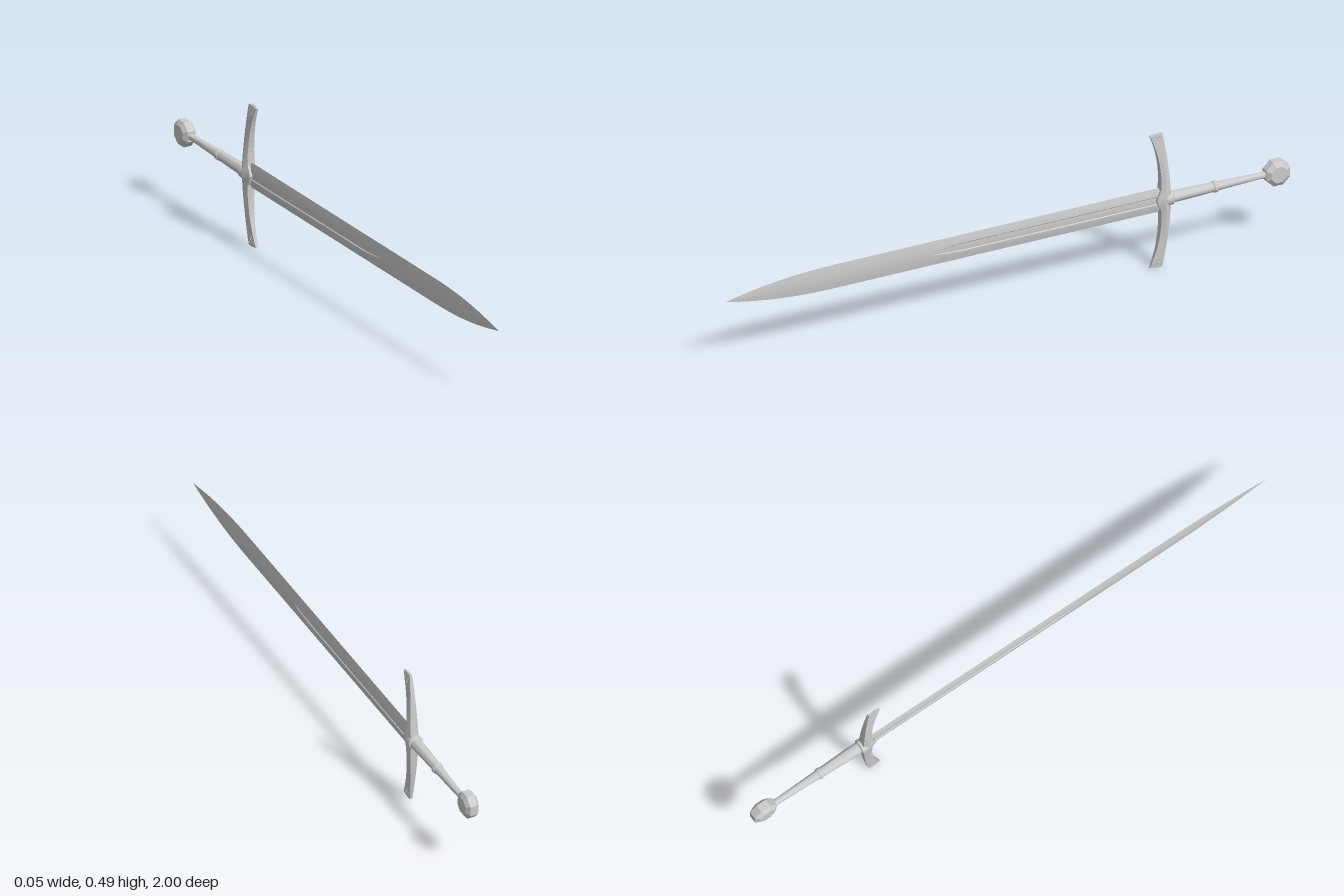
import * as THREE from 'three';
import { toCreasedNormals } from 'three/addons/utils/BufferGeometryUtils.js';

const MID = 0.245; // height of the sword's axis

// Skins a list of rings, each counter-clockwise about the direction of travel
function loft(rings, crease) {
  const n = rings[0].length, index = [];
  rings.forEach((ring, i) => {
    if (i === rings.length - 1) return;
    for (let j = 0; j < n; j++) {
      const a = i * n + j, b = i * n + (j + 1) % n;
      index.push(a, b, b + n, a, b + n, a + n);
    }
  });
  const last = (rings.length - 1) * n;
  for (let j = 1; j < n - 1; j++) index.push(0, j + 1, j, last, last + j, last + j + 1);
  const geometry = new THREE.BufferGeometry();
  geometry.setAttribute('position', new THREE.Float32BufferAttribute(rings.flat(2), 3));
  geometry.setIndex(index);
  return toCreasedNormals(geometry, crease);
}

// Lens-section blade with a fuller on both faces
function bladeGeometry() {
  const stations = [-0.54, -0.2, 0.1, 0.17, 0.21, 0.24, 0.26, 0.27, 0.45];
  for (let i = 0; i <= 16; i++) stations.push(0.6 + 0.4 * i / 16);
  const rings = stations.map((z) => {
    const u = Math.max(0, (z - 0.6) / 0.4);
    const h = Math.max(0.043 * (1 - u ** 2.2), 0.0004);
    const thick = THREE.MathUtils.mapLinear(z, -0.54, 1, 0.007, 0.003) * h / 0.043;
    const v = THREE.MathUtils.clamp((z - 0.17) / 0.1, 0, 1);
    const f = Math.min(0.014 * Math.sqrt(1 - v) + 0.0001, h * 0.4);
    const depth = 0.003 * Math.sqrt(1 - v);
    const half = [[-h, 0], [-(h + f) / 2, 0], [-f, 0], [-f * 0.8, depth], [0, depth],
      [f * 0.8, depth], [f, 0], [(h + f) / 2, 0], [h, 0]]
      .map(([y, d]) => [thick * (1 - (y / h) ** 2) - d, y]);
    const other = half.slice(1, -1).reverse().map(([x, y]) => [-x, y]);
    return [...half, ...other].map(([x, y]) => [x, MID + y, z]);
  });
  return loft(rings, 0.4);
}

// Half width of the crossguard at a distance from the axis
const guardWidth = (d) => THREE.MathUtils.mapLinear(d, 0, 0.243, 0.0235, 0.004);

// Curved crossguard with a ridge along each side
function guardGeometry() {
  // distance from axis, front z, back z, edge width relative to the ridge
  const profile = [[0, -0.527, -0.578, 0.6], [0.018, -0.533, -0.577, 0.62], [0.034, -0.541, -0.575, 0.66],
    [0.08, -0.543, -0.572, 0.7], [0.13, -0.538, -0.567, 0.75], [0.17, -0.53, -0.562, 0.8],
    [0.2, -0.521, -0.557, 0.9], [0.225, -0.512, -0.553, 1], [0.243, -0.506, -0.549, 1]];
  const ring = ([d, front, back, edge], side) => {
    const w = guardWidth(d), e = w * edge, y = MID + side * d, mid = (front + back) / 2;
    const tilt = d > 0.24 ? -0.004 * side : 0;
    return [[e, y + tilt, front], [w, y, mid], [e, y, back],
      [-e, y, back], [-w, y, mid], [-e, y + tilt, front]];
  };
  const lower = profile.slice(1).reverse().map((p) => ring(p, -1));
  return loft([...lower, ...profile.map((p) => ring(p, 1))], 0.35);
}

// Lathe turned around the sword's axis; y in the profile is distance behind z = 0
function turned(profile, segments) {
  const points = profile.map(([r, y]) => new THREE.Vector2(r, y));
  const geometry = new THREE.LatheGeometry(points, segments);
  geometry.rotateX(-Math.PI / 2).translate(0, MID, 0);
  return toCreasedNormals(geometry, 0.6);
}

export function createModel() {
  const group = new THREE.Group();
  const steel = new THREE.MeshStandardMaterial({ color: 0xcccccc });
  const add = (name, geometry, parent = group, material = steel) => {
    const mesh = new THREE.Mesh(geometry, material);
    mesh.name = name;
    parent.add(mesh);
    return mesh;
  };

  add('blade', bladeGeometry());
  add('crossguard', guardGeometry());

  // Trefoil ornaments on the flat ends of the guard
  const ornaments = new THREE.Group();
  ornaments.name = 'guardOrnaments';
  group.add(ornaments);
  const ringGeometry = new THREE.TorusGeometry(0.0062, 0.0012, 5, 12).rotateY(Math.PI / 2);
  for (const sx of [-1, 1]) for (const sy of [-1, 1]) {
    for (const [d, z] of [[0.229, -0.522], [0.227, -0.538], [0.213, -0.533]]) {
      const ring = add('trefoilRing', ringGeometry, ornaments);
      ring.position.set(sx * guardWidth(d), MID + sy * d, z);
      ring.rotation.z = sx * sy * 0.08;
    }
  }

  // Grip with collar and middle ring
  add('collar', turned([[0, 0.56], [0.023, 0.56], [0.025, 0.575], [0.025, 0.584], [0.019, 0.588], [0, 0.588]], 16));
  add('grip', turned([[0, 0.58], [0.0195, 0.58], [0.019, 0.64], [0.016, 0.735], [0.0145, 0.76],
    [0.0115, 0.87], [0.0105, 0.9], [0.0125, 0.92], [0, 0.92]], 16));
  add('gripRing', turned([[0.014, 0.729], [0.0185, 0.732], [0.0195, 0.738], [0.0185, 0.744], [0.014, 0.748]], 16));

  // Octagonal pommel with chamfered faces
  const pommelProfile = [[0, -0.0235], [0.03, -0.0235], [0.046, -0.013], [0.046, 0.013], [0.03, 0.0235], [0, 0.0235]]
    .map(([r, y]) => new THREE.Vector2(r, y));
  const pommel = new THREE.LatheGeometry(pommelProfile, 8, Math.PI / 8).rotateZ(Math.PI / 2);
  pommel.translate(0, MID, -0.9575);
  add('pommel', toCreasedNormals(pommel, 0.1));

  return group;
}
